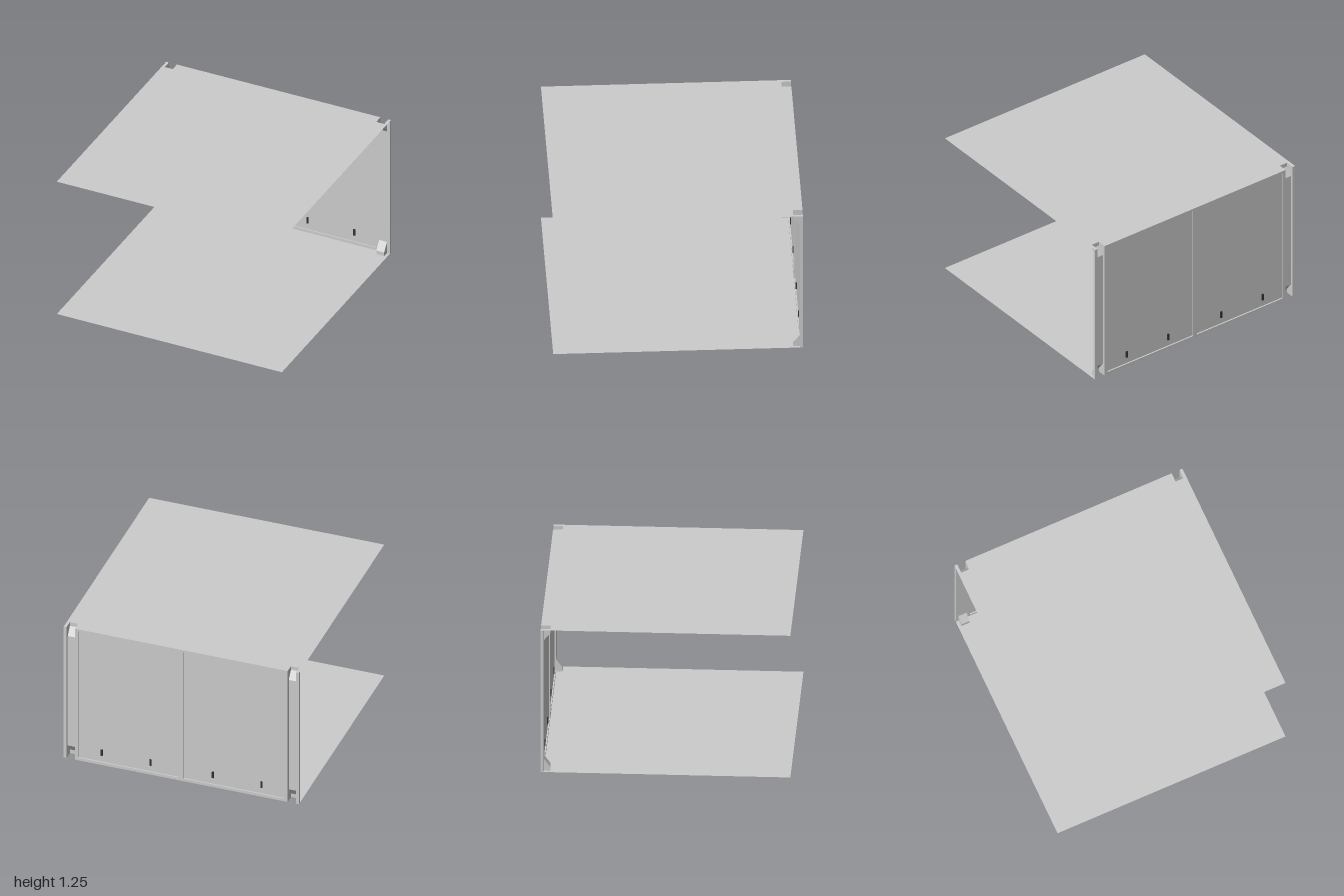
import * as THREE from 'three';

const H = 1.25, BACK = -1, FRONT = -0.975, POCKET = -0.923;
const CH_IN = 0.905, CH_OUT = 0.975;

const grey = new THREE.MeshStandardMaterial({ color: 0xcccccc, flatShading: true, side: THREE.DoubleSide });
const dark = new THREE.MeshStandardMaterial({ color: 0x333333 });

function add(parent, name, geometry, material = grey) {
  const mesh = new THREE.Mesh(geometry, material);
  mesh.name = name;
  parent.add(mesh);
  return mesh;
}

function box(parent, name, x0, x1, y0, y1, z0, z1, material) {
  const mesh = add(parent, name, new THREE.BoxGeometry(x1 - x0, y1 - y0, z1 - z0), material);
  mesh.position.set((x0 + x1) / 2, (y0 + y1) / 2, (z0 + z1) / 2);
}

function polygon(points) {
  return points.map(([a, b]) => new THREE.Vector2(a, b));
}

// Square sheet with a notch above each corner channel; shape y is -z
function sheetGeometry() {
  const n = -POCKET;
  const shape = new THREE.Shape(polygon([
    [-1, -1], [1, -1], [1, 1], [CH_OUT, 1], [CH_OUT, n], [CH_IN, n], [CH_IN, 1],
    [-CH_IN, 1], [-CH_IN, n], [-CH_OUT, n], [-CH_OUT, 1], [-1, 1],
  ]));
  return new THREE.ShapeGeometry(shape).rotateX(-Math.PI / 2);
}

// Strip swept across the channel along a (z, y) profile
function ribbonGeometry(profile, x0, x1) {
  const positions = [], index = [];
  profile.forEach(([z, y], i) => {
    positions.push(x0, y, z, x1, y, z);
    if (i) {
      const a = 2 * i - 2;
      index.push(a, a + 1, a + 3, a, a + 3, a + 2);
    }
  });
  const g = new THREE.BufferGeometry();
  g.setAttribute('position', new THREE.Float32BufferAttribute(positions, 3));
  g.setIndex(index);
  const flat = g.toNonIndexed();
  flat.computeVertexNormals();
  return flat;
}

export function createModel() {
  const model = new THREE.Group();
  model.name = 'openBay';

  // Floor and roof sheets
  add(model, 'floorSheet', sheetGeometry());
  add(model, 'roofSheet', sheetGeometry()).position.y = H;

  // Back frame with two window openings
  const frame = new THREE.Shape(polygon([[-CH_IN, 0], [CH_IN, 0], [CH_IN, H], [-CH_IN, H]]));
  for (const [x0, x1] of [[-0.875, -0.02], [0.02, 0.875]]) {
    frame.holes.push(new THREE.Path(polygon([[x0, 0.025], [x0, 1.23], [x1, 1.23], [x1, 0.025]])));
  }
  const frameGeometry = new THREE.ExtrudeGeometry(frame, { depth: FRONT - BACK, bevelEnabled: false });
  add(model, 'backFrame', frameGeometry).position.z = BACK;

  // Channel floor, deepening into a sloped pocket at each end
  const bottom = [[POCKET, 0], [POCKET, 0.035], [FRONT, 0.105]];
  const top = [[FRONT, 1.15], [POCKET, 1.215], [POCKET, H]];
  const cheeks = [[...bottom, [FRONT, 0]], [...top, [FRONT, H]]];

  for (const [side, s] of [['left', 1], ['right', -1]]) {
    const corner = new THREE.Group();
    corner.name = side + 'Side';
    model.add(corner);

    // Corner post and channel
    const xs = [s * CH_IN, s * CH_OUT].sort((a, b) => a - b);
    const post = [s * CH_OUT, s].sort((a, b) => a - b);
    box(corner, 'cornerPost', ...post, 0, H, BACK, FRONT);
    add(corner, 'channel', ribbonGeometry([...bottom, ...top], ...xs));

    // Pocket side walls
    for (const x of xs) {
      for (const cheek of cheeks) {
        const g = new THREE.ShapeGeometry(new THREE.Shape(polygon(cheek.map(([z, y]) => [-z, y]))));
        add(corner, 'pocketCheek', g.rotateY(Math.PI / 2)).position.x = x;
      }
    }

    // Recessed panel with two small dark tabs
    box(corner, 'panel', ...[s * 0.02, s * 0.875].sort((a, b) => a - b), 0.025, 1.23, -0.988, -0.985);
    for (const x of [0.265, 0.68]) {
      box(corner, 'panelTab', s * x - 0.008, s * x + 0.008, 0.083, 0.14, -0.998, -0.977, dark);
    }
  }
  return model;
}
